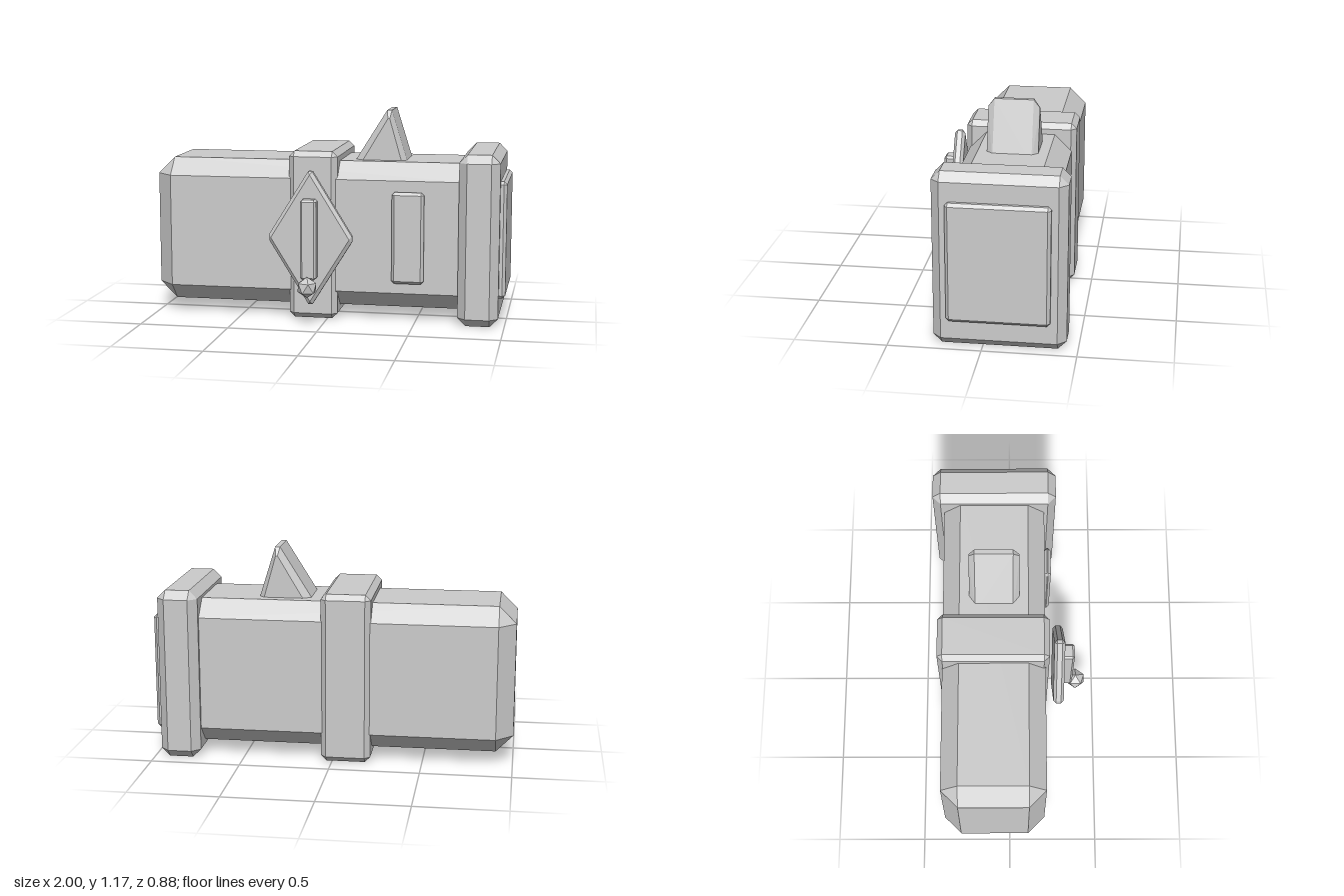
import * as THREE from 'three';
import { ConvexGeometry } from 'three/addons/geometries/ConvexGeometry.js';

const material = new THREE.MeshStandardMaterial({ color: 0xcccccc, flatShading: true });

// Box with every edge cut by a chamfer c
function chamferBox(w, h, d, c) {
  const pts = [];
  for (const sx of [-1, 1]) for (const sy of [-1, 1]) for (const sz of [-1, 1]) {
    const x = w / 2, y = h / 2, z = d / 2;
    for (const [a, b, e] of [[x, y - c, z - c], [x - c, y, z - c], [x - c, y - c, z]]) {
      pts.push(new THREE.Vector3(a * sx, b * sy, e * sz));
    }
  }
  return new ConvexGeometry(pts);
}

// Chamfered box given by its limits on each axis
function boxBetween([x0, x1], [y0, y1], [z0, z1], c) {
  return chamferBox(x1 - x0, y1 - y0, z1 - z0, c)
    .translate((x0 + x1) / 2, (y0 + y1) / 2, (z0 + z1) / 2);
}

export function createModel() {
  const group = new THREE.Group();
  const add = (name, geometry) => {
    const mesh = new THREE.Mesh(geometry, material);
    mesh.name = name;
    group.add(mesh);
  };

  // Long body, middle band and end cap
  add('body', boxBetween([-1, 0.9], [0.07, 0.895], [-0.375, 0.2], 0.095));
  add('middleBand', boxBetween([-0.215, 0.06], [0.005, 0.955], [-0.4, 0.22], 0.03));
  add('endCap', boxBetween([0.74, 0.965], [0, 0.957], [-0.44, 0.265], 0.046));
  add('endPanel', boxBetween([0.93, 1], [0.153, 0.808], [-0.358, 0.187], 0.017));
  add('sidePlate', boxBetween([0.37, 0.55], [0.225, 0.74], [0.2, 0.237], 0.016));

  // Diamond plate: a square turned on its corner and stretched upwards
  add('diamondPlate', chamferBox(0.345, 0.345, 0.06, 0.016)
    .rotateZ(Math.PI / 4).scale(1, 1.61, 1).translate(-0.075, 0.48, 0.28));

  // Pendant bar with a faceted bead below it
  add('pendantBar', boxBetween([-0.12, -0.03], [0.255, 0.705], [0.3, 0.368], 0.012));
  const golden = (1 + Math.sqrt(5)) / 2;
  add('pendantBead', new THREE.IcosahedronGeometry(0.059)
    .rotateZ(-Math.atan(1 / golden)).translate(-0.075, 0.221, 0.39));

  // Leaning fin on top, bevelled towards its front and back faces
  const outer = [[0.11, 0.85], [0.313, 1.175], [0.34, 1.175], [0.442, 0.85]];
  const inner = [[0.155, 0.85], [0.322, 1.13], [0.332, 1.13], [0.412, 0.85]];
  const finPoints = [];
  for (const [profile, zs] of [[outer, [-0.192, 0.02]], [inner, [-0.225, 0.055]]]) {
    for (const z of zs) for (const [x, y] of profile) finPoints.push(new THREE.Vector3(x, y, z));
  }
  add('topFin', new ConvexGeometry(finPoints));

  return group;
}
